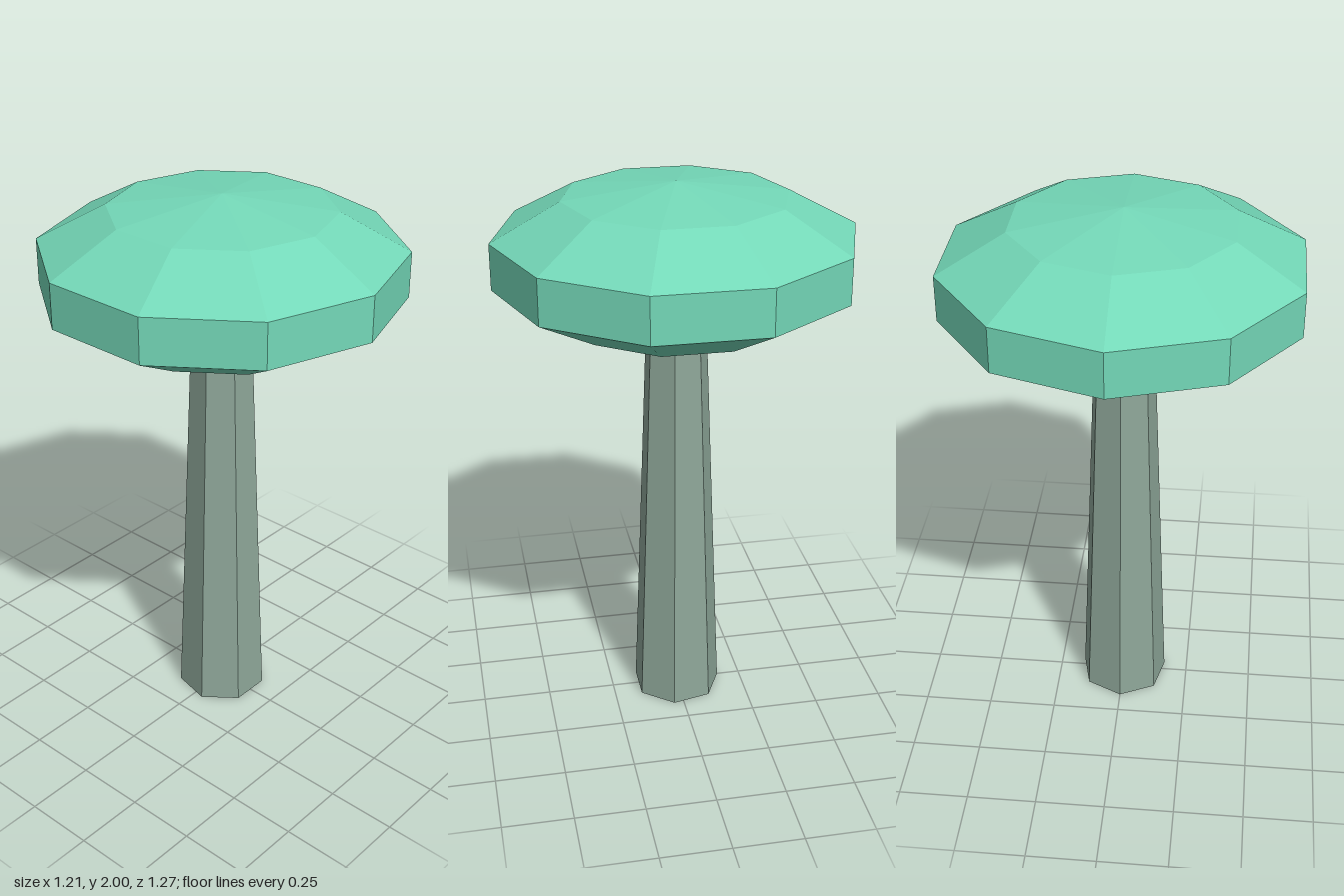
import * as THREE from 'three';

const canopyGreen = new THREE.MeshStandardMaterial({ color: 0x74d8b8 });
canopyGreen.name = 'canopyGreen';
const trunkGrey = new THREE.MeshStandardMaterial({ color: 0x8ea799 });
trunkGrey.name = 'trunkGrey';

// Faceted mesh: every face gets its own flat normal
function facetedMesh(name, geometry, material) {
  const flat = geometry.toNonIndexed();
  flat.computeVertexNormals();
  const mesh = new THREE.Mesh(flat, material);
  mesh.name = name;
  return mesh;
}

export function createModel() {
  const model = new THREE.Group();
  model.name = 'tree';

  // Trunk: tapered seven-sided post with a corner pointing back
  const trunkHeight = 1.5;
  const trunkGeometry = new THREE.CylinderGeometry(0.109, 0.165, trunkHeight, 7, 1, false, Math.PI);
  trunkGeometry.translate(0, trunkHeight / 2, 0);
  model.add(facetedMesh('trunk', trunkGeometry, trunkGrey));

  // Canopy: squashed ten-sided ball with corners on the z axis
  const canopyGeometry = new THREE.SphereGeometry(0.668, 10, 5);
  canopyGeometry.rotateY(Math.PI / 2);
  canopyGeometry.scale(1, 0.263 / 0.668, 1);
  canopyGeometry.translate(0, 1.737, 0);
  model.add(facetedMesh('canopy', canopyGeometry, canopyGreen));

  return model;
}
